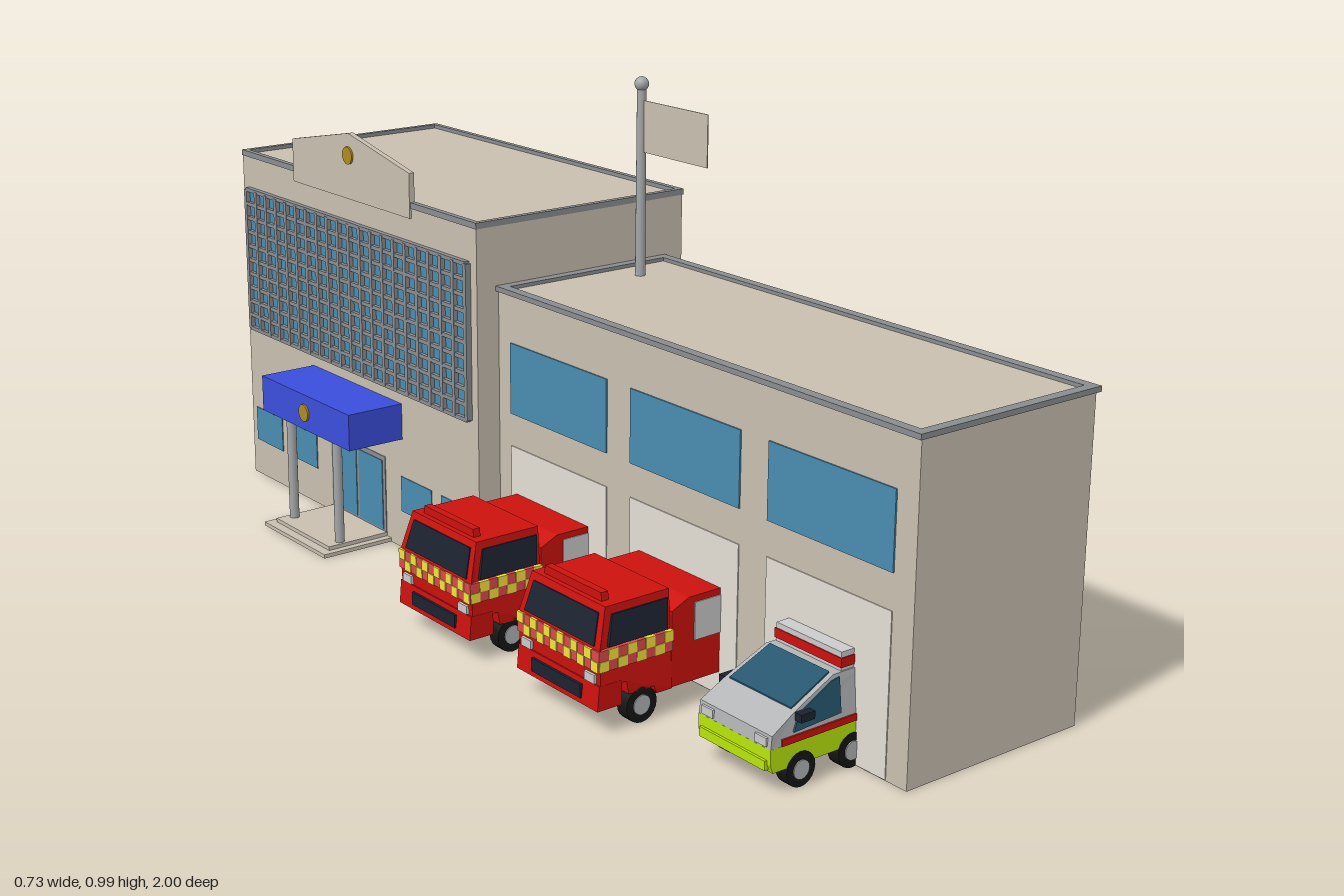
import * as THREE from 'three';

const mat = (color, side = THREE.FrontSide) => new THREE.MeshStandardMaterial({ color, side });
const WALL = mat(0xc8bfb0), RIM = mat(0x8a8d90), GLASS = mat(0x4a8db0), METAL = mat(0xa4a6a8);
const PALE = mat(0xe4dfd4), BLUE = mat(0x3a4edc), GOLD = mat(0xb08a20), RED = mat(0xcc120e);
const DARK = mat(0x1c2230), TYRE = mat(0x151515), YELLOW = mat(0xf2e23c), PINK = mat(0xdc4a4a);
const WHITE = mat(0xd8d8d8), LIME = mat(0xb9e60a), SCREEN = mat(0x25566e), SILVER = mat(0xb2b4b6);

function add(parent, name, geometry, material, x = 0, y = 0, z = 0) {
  const mesh = new THREE.Mesh(geometry, material);
  mesh.name = name;
  mesh.position.set(x, y, z);
  parent.add(mesh);
  return mesh;
}

// Box given by its min and max on each axis
function box(parent, name, material, x0, x1, y0, y1, z0, z1) {
  return add(parent, name, new THREE.BoxGeometry(x1 - x0, y1 - y0, z1 - z0), material,
    (x0 + x1) / 2, (y0 + y1) / 2, (z0 + z1) / 2);
}

const polygon = pts => new THREE.Shape(pts.map(([x, y]) => new THREE.Vector2(x, y)));

// Side profile stretched across z, narrowing above taperY
function prism(parent, name, material, pts, z0, z1, taperY = 9, taper = 0) {
  const g = new THREE.ExtrudeGeometry(polygon(pts), { depth: z1 - z0, bevelEnabled: false });
  g.translate(0, 0, z0);
  const p = g.attributes.position;
  for (let i = 0; i < p.count; i++) {
    p.setZ(i, p.getZ(i) * (1 - taper * Math.max(0, p.getY(i) - taperY)));
  }
  g.computeVertexNormals();
  return add(parent, name, g, material);
}

function rect(x0, x1, y0, y1) {
  return [[x0, y0], [x1, y0], [x1, y1], [x0, y1]];
}

function rim(parent, name, x0, x1, z0, z1, y, h, w) {
  const shape = polygon(rect(x0, x1, -z1, -z0));
  shape.holes.push(polygon(rect(x0 + w, x1 - w, -z1 + w, -z0 - w)));
  const g = new THREE.ExtrudeGeometry(shape, { depth: h, bevelEnabled: false });
  g.rotateX(-Math.PI / 2);
  add(parent, name, g, RIM, 0, y, 0);
}

function wheels(parent, x, halfTrack, r) {
  for (const s of [-1, 1]) {
    const tyre = new THREE.CylinderGeometry(r, r, 0.026, 20).rotateX(Math.PI / 2);
    const hub = new THREE.CylinderGeometry(r * 0.55, r * 0.55, 0.028, 16).rotateX(Math.PI / 2);
    add(parent, 'tyre', tyre, TYRE, x, r, s * (halfTrack - 0.013));
    add(parent, 'hub', hub, SILVER, x, r, s * (halfTrack - 0.012));
  }
}

function fireTruck(z) {
  const t = new THREE.Group();
  t.name = 'fireTruck';
  t.position.z = z;
  const W = 0.115, part = (name, m, pts, a, b) => prism(t, name, m, pts, a, b, 0.15, 1.4);
  part('cab', RED, [[-0.355, 0.085], [-0.3, 0.085], [-0.295, 0.06], [-0.24, 0.06], [-0.235, 0.045],
    [-0.2, 0.045], [-0.2, 0.225], [-0.337, 0.225], [-0.358, 0.15]], -W, W);
  part('cabFloor', RED, rect(-0.345, -0.2, 0.045, 0.09), -W + 0.028, W - 0.028);
  part('bumper', RED, [[-0.362, 0.045], [-0.31, 0.045], [-0.31, 0.09], [-0.358, 0.09]], -W, W);
  part('grille', DARK, rect(-0.364, -0.35, 0.055, 0.08), -0.07, 0.07);
  part('sideWindows', DARK, [[-0.338, 0.157], [-0.212, 0.157], [-0.205, 0.21], [-0.325, 0.21]], -W - 0.002, W + 0.002);
  part('windscreen', DARK, [[-0.358, 0.158], [-0.33, 0.158], [-0.33, 0.212], [-0.343, 0.212]], -0.1, 0.1);
  part('lightBar', RED, rect(-0.327, -0.312, 0.222, 0.24), -0.09, 0.09);
  // Chequered band round the cab
  part('bandBase', PINK, rect(-0.36, -0.2, 0.115, 0.153), -W - 0.001, W + 0.001);
  for (let row = 0; row < 2; row++) {
    const y = 0.115 + row * 0.019;
    for (let i = row; i < 8; i += 2) {
      part('bandSideCheck', YELLOW, rect(-0.359 + i * 0.02, -0.339 + i * 0.02, y, y + 0.019), -W - 0.002, W + 0.002);
    }
    for (let i = 1 - row; i < 12; i += 2) {
      box(t, 'bandFrontCheck', YELLOW, -0.362, -0.35, y, y + 0.019, -W + i * W / 6, -W + (i + 1) * W / 6);
    }
  }
  // Headlamps
  for (const s of [-1, 1]) box(t, 'headlamp', WHITE, -0.361, -0.34, 0.092, 0.108, s * 0.09 - 0.014, s * 0.09 + 0.014);
  // Rear body
  prism(t, 'rearBody', RED, [[-0.2, 0.045], [-0.05, 0.045], [-0.05, 0.202], [-0.163, 0.202], [-0.2, 0.185]], -0.112, 0.112);
  box(t, 'sidePanel', WHITE, -0.15, -0.07, 0.12, 0.19, -0.114, 0.114);
  wheels(t, -0.267, W, 0.033);
  return t;
}

function ambulance(z) {
  const a = new THREE.Group();
  a.name = 'ambulance';
  a.position.z = z;
  const W = 0.088, part = (name, m, pts, z0, z1) => prism(a, name, m, pts, z0, z1, 0.1, 1.2);
  part('lowerBody', LIME, [[-0.272, 0.04], [-0.06, 0.04], [-0.06, 0.082], [-0.278, 0.082], [-0.278, 0.055]], -W, W);
  part('upperBody', SILVER, [[-0.278, 0.08], [-0.06, 0.08], [-0.06, 0.172], [-0.14, 0.172], [-0.225, 0.133], [-0.275, 0.105]], -W, W);
  part('stripe', RED, rect(-0.255, -0.06, 0.082, 0.094), -W - 0.002, W + 0.002);
  part('sideWindows', SCREEN, [[-0.23, 0.1], [-0.127, 0.105], [-0.127, 0.166], [-0.145, 0.163], [-0.218, 0.128]], -W - 0.002, W + 0.002);
  part('windscreen', SCREEN, [[-0.224, 0.136], [-0.224, 0.128], [-0.14, 0.166], [-0.14, 0.175]], -0.078, 0.078);
  part('bumper', LIME, rect(-0.283, -0.27, 0.045, 0.062), -0.08, 0.08);
  for (const s of [-1, 1]) {
    box(a, 'headlamp', WHITE, -0.28, -0.265, 0.085, 0.1, s * 0.065 - 0.014, s * 0.065 + 0.014);
    box(a, 'mirror', DARK, -0.225, -0.195, 0.118, 0.132, s * 0.092 - 0.008, s * 0.092 + 0.008);
  }
  // Raised rear compartment
  box(a, 'roofBox', WHITE, -0.12, -0.06, 0.165, 0.205, -0.078, 0.078);
  box(a, 'roofBand', RED, -0.122, -0.06, 0.178, 0.195, -0.08, 0.08);
  wheels(a, -0.213, W + 0.002, 0.031);
  wheels(a, -0.1, W + 0.002, 0.031);
  return a;
}

function tower() {
  const g = new THREE.Group();
  g.name = 'tower';
  box(g, 'towerWalls', WALL, -0.14, 0.36, 0, 0.724, -1, -0.12);
  rim(g, 'towerParapet', -0.142, 0.362, -1, -0.118, 0.72, 0.012, 0.012);
  // Gabled panel above the entrance front
  const gable = polygon([[-0.22, 0.7], [0.22, 0.7], [0.22, 0.79], [0, 0.835], [-0.22, 0.79]]);
  const gg = new THREE.ExtrudeGeometry(gable, { depth: 0.012, bevelEnabled: false }).rotateY(-Math.PI / 2);
  add(g, 'gable', gg, WALL, -0.132, 0, -0.56);
  const boss = new THREE.CylinderGeometry(0.018, 0.018, 0.004, 16).rotateZ(Math.PI / 2);
  add(g, 'gableBoss', boss, GOLD, -0.146, 0.79, -0.56);
  add(g, 'canopyBoss', boss, GOLD, -0.267, 0.272, -0.56);
  // Window screen of small panes
  const cols = 20, rows = 10, z0 = -0.975, z1 = -0.145, y0 = 0.34, y1 = 0.65;
  box(g, 'screenGlass', GLASS, -0.143, -0.139, y0, y1, z0, z1);
  for (let i = 0; i <= cols; i++) {
    const z = z0 + (z1 - z0) * i / cols;
    box(g, 'screenPost', RIM, -0.152, -0.14, y0, y1, z - 0.005, z + 0.005);
  }
  for (let j = 0; j <= rows; j++) {
    const y = y0 + (y1 - y0) * j / rows;
    box(g, 'screenRail', RIM, -0.151, -0.14, y - 0.004, y + 0.004, z0, z1);
  }
  // Ground floor windows and doors
  for (const s of [-1, 1]) {
    for (const d of [0.22, 0.365]) {
      const z = -0.56 + s * d;
      box(g, 'groundWindow', GLASS, -0.142, -0.138, 0.08, 0.155, z - 0.055, z + 0.055);
    }
    box(g, 'entranceDoor', GLASS, -0.143, -0.138, 0.02, 0.17, -0.56 + s * 0.05 - 0.045, -0.56 + s * 0.05 + 0.045);
    add(g, 'canopyPost', new THREE.CylinderGeometry(0.01, 0.01, 0.225, 16), METAL, -0.245, 0.124, -0.56 + s * 0.09);
  }
  box(g, 'doorFrame', RIM, -0.1415, -0.138, 0.015, 0.18, -0.665, -0.455);
  box(g, 'canopy', BLUE, -0.265, -0.14, 0.235, 0.31, -0.73, -0.39);
  box(g, 'lowerStep', WALL, -0.3, -0.14, 0, 0.008, -0.68, -0.44);
  box(g, 'upperStep', WALL, -0.28, -0.14, 0, 0.016, -0.665, -0.455);
  return g;
}

function garageWing() {
  const g = new THREE.Group();
  g.name = 'garageWing';
  box(g, 'wingWalls', WALL, -0.09, 0.31, 0, 0.597, -0.13, 0.995);
  rim(g, 'wingParapet', -0.097, 0.317, -0.12, 1, 0.594, 0.01, 0.02);
  for (const z of [0.068, 0.433, 0.8]) {
    box(g, 'upperWindow', GLASS, -0.093, -0.088, 0.36, 0.5, z - 0.148, z + 0.148);
    box(g, 'garageDoor', PALE, -0.092, -0.088, 0.002, 0.295, z - 0.148, z + 0.148);
  }
  // Flagpole
  add(g, 'flagpole', new THREE.CylinderGeometry(0.009, 0.01, 0.37, 16), METAL, 0.19, 0.78, -0.04);
  add(g, 'poleBall', new THREE.SphereGeometry(0.014, 16, 12), METAL, 0.19, 0.971, -0.04);
  box(g, 'flag', WALL, 0.189, 0.191, 0.84, 0.94, -0.035, 0.155);
  return g;
}

export function createModel() {
  const model = new THREE.Group();
  model.name = 'fireStation';
  model.add(tower(), garageWing(), fireTruck(0.05), fireTruck(0.425), ambulance(0.79));
  return model;
}
